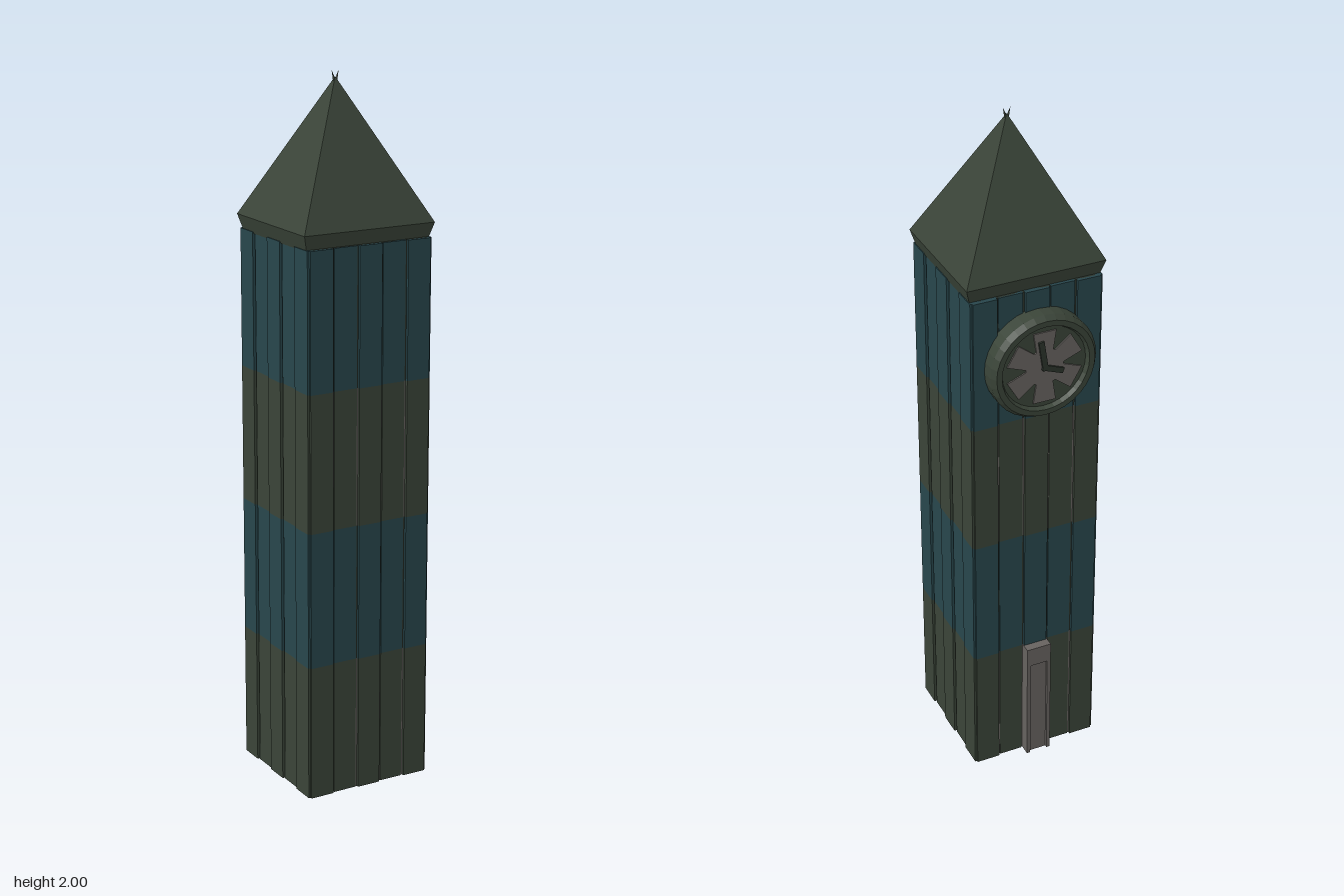
import * as THREE from 'three';

const mat = (color) => new THREE.MeshStandardMaterial({ color, flatShading: true, side: THREE.DoubleSide });
const GREEN = mat(0x3a4438), BLUE = mat(0x28464c), DARK = mat(0x2b332b), GREY = mat(0x66625f);
const CZ = 0.026; // tower axis in z

function add(parent, name, geometry, material, x = 0, y = 0, z = 0) {
  const mesh = new THREE.Mesh(geometry, material);
  mesh.name = name;
  mesh.position.set(x, y, z);
  parent.add(mesh);
  return mesh;
}

const box = (w, h, d) => new THREE.BoxGeometry(w, h, d);

// Square frustum given by its half widths
function frustum(top, bottom, h) {
  return new THREE.CylinderGeometry(top * Math.SQRT2, bottom * Math.SQRT2, h, 4).rotateY(Math.PI / 4);
}

// One storey: a core with five boards per side, alternately raised
function storey(index, boardMat, coreMat) {
  const group = new THREE.Group();
  group.name = 'storey' + index;
  const h = 0.39;
  group.position.set(0, h * (index + 0.5), CZ);
  add(group, 'core', box(0.368, h, 0.368), coreMat);
  for (let side = 0; side < 4; side++) {
    const wall = new THREE.Group();
    wall.name = 'wall';
    wall.rotation.y = side * Math.PI / 2;
    for (let i = 0; i < 5; i++) {
      const face = i % 2 ? 0.187 : 0.192;
      add(wall, 'board', box(0.07, h, 0.02), boardMat, (i - 2) * 0.0755, 0, face - 0.01);
    }
    group.add(wall);
  }
  return group;
}

// Clock on the back wall, built facing +z and then turned around
function clock() {
  const group = new THREE.Group();
  group.name = 'clock';
  group.position.set(0, 1.35, -0.155);
  group.rotation.y = Math.PI;
  const profile = [[0, 0], [0.155, 0], [0.155, 0.048], [0.144, 0.065], [0.128, 0.065], [0.122, 0.052], [0, 0.052]];
  const rim = new THREE.LatheGeometry(profile.map(([r, y]) => new THREE.Vector2(r, y)), 32);
  add(group, 'clockRim', rim.rotateX(Math.PI / 2), GREEN);

  // Dial with six flared arms
  const dial = new THREE.Shape();
  for (let i = 0; i < 6; i++) {
    const a = (i + 0.5) * Math.PI / 3;
    [[-0.46, 0.055], [-0.3, 0.112], [0.3, 0.112], [0.46, 0.055]].forEach(([da, r], k) => {
      const x = r * Math.cos(a + da), y = r * Math.sin(a + da);
      if (i + k === 0) dial.moveTo(x, y); else dial.lineTo(x, y);
    });
  }
  dial.closePath();
  add(group, 'dial', new THREE.ExtrudeGeometry(dial, { depth: 0.006, bevelEnabled: false }), GREY, 0, 0, 0.05);

  // Hands
  for (const [name, length, angle] of [['minuteHand', 0.09, 0.15], ['hourHand', 0.065, -1.95]]) {
    const hand = add(group, name, box(0.016, length, 0.006).translate(0, length / 2 - 0.008, 0), DARK, 0, 0, 0.059);
    hand.rotation.z = angle;
  }
  return group;
}

// Doorway on the back wall
function doorway() {
  const group = new THREE.Group();
  group.name = 'doorway';
  group.position.set(0, 0, -0.175);
  for (const s of [-1, 1]) add(group, 'jamb', box(0.011, 0.33, 0.034), GREY, s * 0.032, 0.165, 0);
  add(group, 'lintel', box(0.075, 0.06, 0.034), GREY, 0, 0.36, 0);
  add(group, 'door', box(0.054, 0.33, 0.026), GREY, 0, 0.165, 0.004);
  return group;
}

// Pyramid roof with a flared eave and a forked tip
function roof() {
  const group = new THREE.Group();
  group.name = 'roof';
  group.position.z = CZ;
  const spire = new THREE.Group();
  spire.name = 'spire';
  spire.scale.z = 0.935;
  group.add(spire);
  add(spire, 'eave', frustum(0.201, 0.188, 0.045), GREEN, 0, 1.5775, 0);
  add(spire, 'pyramid', frustum(0.001, 0.201, 0.38), GREEN, 0, 1.79, 0);
  for (const s of [-1, 1]) {
    const prong = add(group, 'prong', new THREE.ConeGeometry(0.006, 0.04, 4), GREEN, s * 0.005, 1.98, 0);
    prong.rotation.z = -s * 0.3;
  }
  return group;
}

export function createModel() {
  const tower = new THREE.Group();
  tower.name = 'clockTower';
  for (let i = 0; i < 4; i++) tower.add(storey(i, i % 2 ? BLUE : GREEN, i % 2 ? DARK : GREY));
  tower.add(roof(), clock(), doorway());
  return tower;
}
